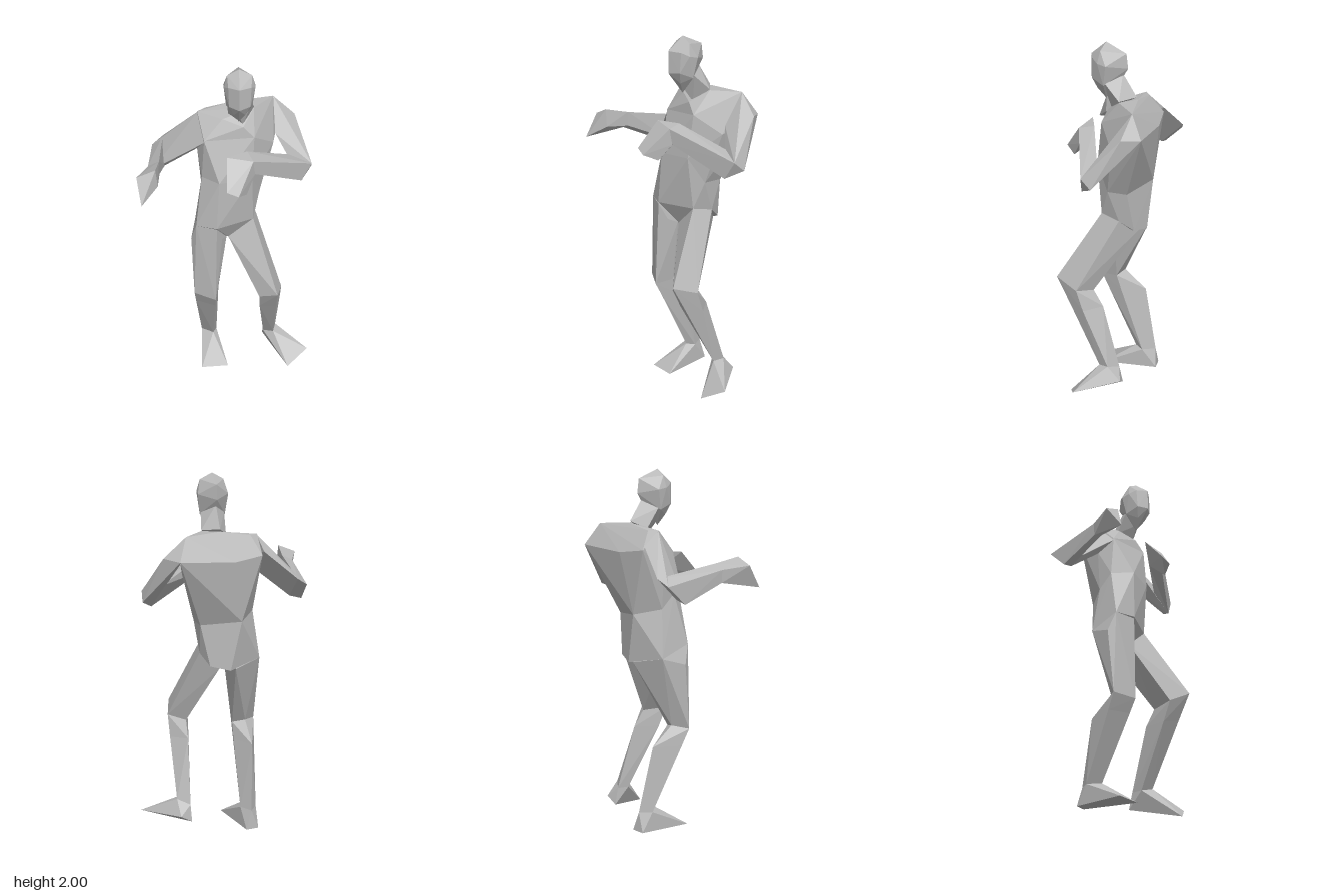
import * as THREE from 'three';
import { ConvexGeometry } from 'three/addons/geometries/ConvexGeometry.js';

const skin = new THREE.MeshStandardMaterial({ color: 0xb8b8b8 });
skin.name = 'plain grey';

// Faceted solid spanning the given cross-sections
function hull(name, ...rings) {
  const points = rings.flat().map((p) => new THREE.Vector3(...p));
  const mesh = new THREE.Mesh(new ConvexGeometry(points), skin);
  mesh.name = name;
  return mesh;
}

// Chain of faceted segments, neighbours sharing a cross-section
function chain(name, segmentNames, rings) {
  const group = new THREE.Group();
  group.name = name;
  segmentNames.forEach((s, i) => group.add(hull(s, rings[i], rings[i + 1])));
  return group;
}

export function createModel() {
  const model = new THREE.Group();
  model.name = 'figure';

  // Torso, from crotch and hips to shoulders, turned slightly to its left
  model.add(chain('torso', ['abdomen', 'ribcage', 'shoulders'], [
    [[-0.18, 1.05, 0.05], [-0.065, 1.05, 0.085], [0.14, 1.05, -0.015], [0.155, 1.03, -0.13],
      [0.11, 0.97, -0.2], [0, 0.945, -0.225], [-0.187, 0.98, -0.12], [0, 0.93, -0.01]],
    [[-0.145, 1.33, -0.02], [-0.05, 1.34, 0.07], [0.13, 1.34, 0.015], [0.175, 1.2, -0.07],
      [0.16, 1.2, -0.18], [-0.06, 1.22, -0.23], [-0.15, 1.25, -0.1]],
    [[-0.17, 1.48, -0.1], [-0.13, 1.56, -0.015], [0.14, 1.58, -0.015], [0.25, 1.48, -0.13],
      [0.295, 1.58, -0.33], [-0.01, 1.56, -0.285], [-0.17, 1.58, -0.235]],
    [[-0.165, 1.68, -0.13], [-0.03, 1.67, -0.06], [0.08, 1.64, -0.025], [0.14, 1.705, -0.12],
      [0.25, 1.7, -0.255], [0.05, 1.71, -0.19], [-0.12, 1.68, -0.17]],
  ]));

  // Neck leaning forward
  model.add(hull('neck',
    [[0, 1.68, -0.1], [0.14, 1.71, -0.12], [0.05, 1.72, -0.18], [0.08, 1.64, -0.05]],
    [[-0.005, 1.79, -0.03], [0.125, 1.79, -0.03], [0.055, 1.84, -0.1], [0.055, 1.72, 0]]));

  // Head: centre-line ridge, then pairs mirrored about x = 0.058
  const headPairs = [[0.065, 1.965, 0], [0.084, 1.89, -0.04], [0.082, 1.9, 0.01],
    [0.07, 1.78, -0.02], [0.06, 1.92, 0.05], [0.055, 1.81, 0.055], [0.03, 1.75, 0.035]];
  model.add(hull('head',
    [[0.055, 2, 0], [0.055, 1.925, 0.09], [0.055, 1.805, 0.09], [0.055, 1.69, 0],
      [0.055, 1.82, -0.1], [0.055, 1.87, -0.13], [0.055, 1.95, -0.12]],
    headPairs.flatMap(([x, y, z]) => [[0.058 + x, y, z], [0.058 - x, y, z]])));

  // Left arm folded across the chest
  model.add(chain('leftArm', ['leftUpperArm', 'leftForearm', 'leftHand'], [
    [[0.25, 1.7, -0.255], [0.37, 1.59, -0.25], [0.295, 1.58, -0.33], [0.26, 1.53, -0.14]],
    [[0.46, 1.38, -0.065], [0.465, 1.33, -0.125], [0.405, 1.285, -0.04], [0.36, 1.41, -0.11]],
    [[0.1, 1.535, 0.05], [0.13, 1.52, 0.13], [0.14, 1.435, 0.12], [0.1, 1.45, 0.06]],
    [[-0.01, 1.54, 0.12], [-0.012, 1.4, 0.245], [0.05, 1.375, 0.25], [0.095, 1.345, 0.18]],
  ]));

  // Right arm with the forearm reaching forward
  model.add(chain('rightArm', ['rightUpperArm', 'rightForearm', 'rightHand'], [
    [[-0.16, 1.68, -0.13], [-0.13, 1.55, -0.015], [-0.18, 1.465, -0.09], [-0.18, 1.6, -0.23]],
    [[-0.42, 1.41, -0.235], [-0.36, 1.45, -0.265], [-0.42, 1.31, -0.13], [-0.35, 1.33, -0.14]],
    [[-0.43, 1.48, 0.1], [-0.37, 1.51, 0.1], [-0.37, 1.43, 0.1], [-0.425, 1.41, 0.1]],
    [[-0.485, 1.5, 0.24], [-0.385, 1.54, 0.235], [-0.46, 1.375, 0.325], [-0.375, 1.44, 0.235]],
  ]));

  // Left leg stepping out, knee forward and toes turned outward
  model.add(chain('leftLeg', ['leftThigh', 'leftCalf', 'leftShin', 'leftFoot'], [
    [[0.14, 1.05, -0.015], [0, 0.93, -0.01], [0.06, 0.955, -0.205], [0.155, 1.03, -0.13]],
    [[0.175, 0.61, 0.14], [0.275, 0.665, 0.2], [0.305, 0.62, 0.06], [0.21, 0.6, 0]],
    [[0.18, 0.5, 0.09], [0.275, 0.52, 0.12], [0.3, 0.5, 0.02], [0.21, 0.51, -0.06]],
    [[0.215, 0.15, -0.1], [0.275, 0.165, -0.07], [0.29, 0.175, -0.13], [0.22, 0.15, -0.17]],
    [[0.36, 0.003, 0.07], [0.48, 0.075, -0.01], [0.215, 0.055, -0.19], [0.28, 0.095, -0.205]],
  ]));

  // Right leg carrying the weight
  model.add(chain('rightLeg', ['rightThigh', 'rightCalf', 'rightShin', 'rightFoot'], [
    [[-0.18, 1.05, 0.05], [-0.21, 0.94, 0.015], [-0.065, 1.04, 0.083], [-0.035, 0.95, 0.04],
      [-0.01, 0.93, -0.01], [-0.03, 0.95, -0.215], [-0.187, 0.98, -0.12]],
    [[-0.197, 0.57, 0.05], [-0.075, 0.555, 0.1], [-0.058, 0.57, -0.005], [-0.13, 0.585, -0.025]],
    [[-0.19, 0.48, 0.007], [-0.075, 0.48, 0.06], [-0.06, 0.48, -0.035], [-0.14, 0.48, -0.155]],
    [[-0.16, 0.11, -0.17], [-0.09, 0.12, -0.12], [-0.07, 0.11, -0.17], [-0.12, 0.11, -0.235]],
    [[-0.16, 0, 0.065], [-0.003, 0, 0.052], [-0.16, 0, -0.235], [-0.087, 0.003, -0.253]],
  ]));

  return model;
}
